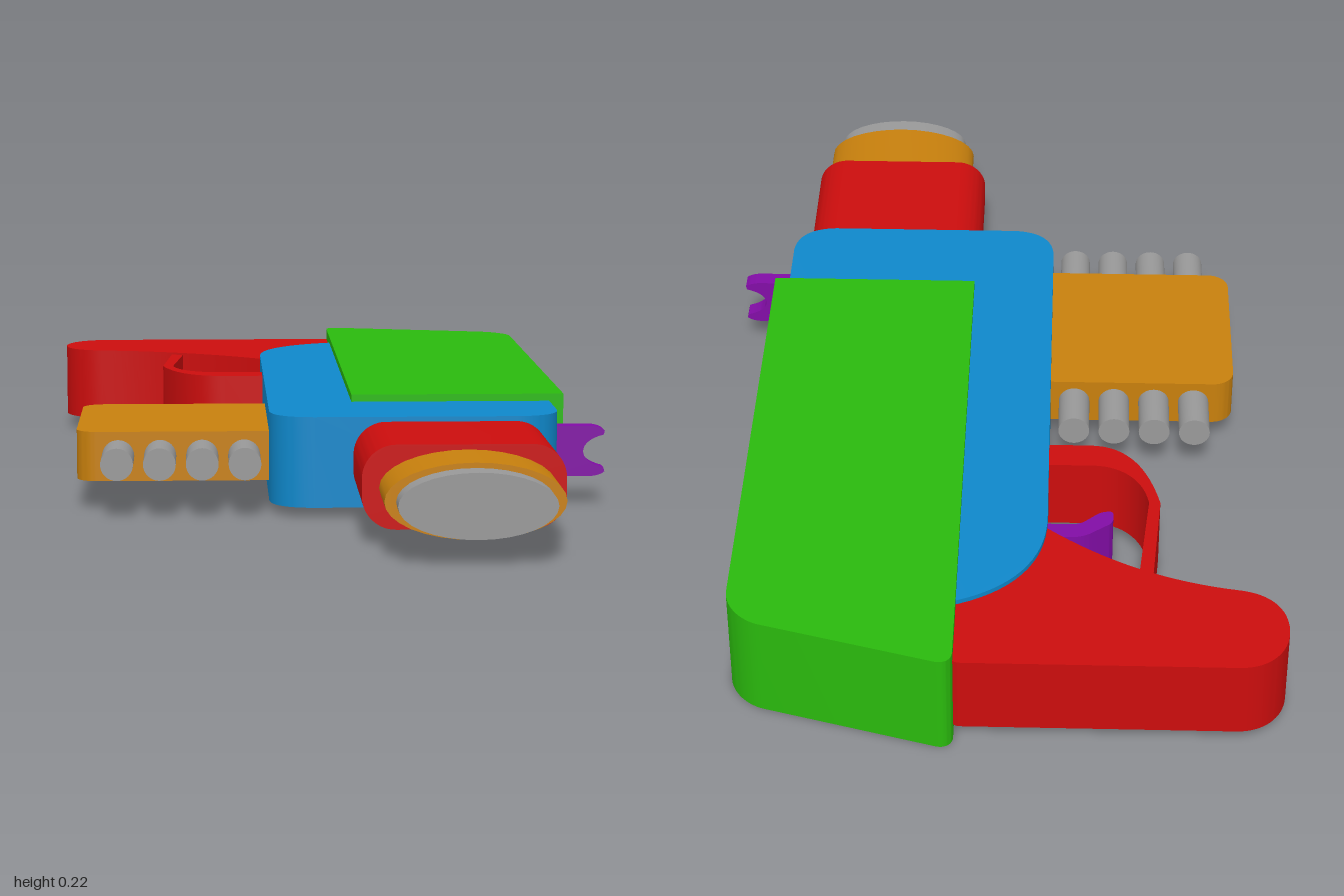
import * as THREE from 'three';
import { toCreasedNormals } from 'three/addons/utils/BufferGeometryUtils.js';

const RED = 0xcc0d0d, BLUE = 0x0f88cb, GREEN = 0x2aba0d, ORANGE = 0xc8800d, PURPLE = 0x820da6, GREY = 0x999999;

export function createModel() {
  const model = new THREE.Group();

  function add(name, geometry, color) {
    const mesh = new THREE.Mesh(geometry, new THREE.MeshStandardMaterial({ color }));
    mesh.name = name;
    model.add(mesh);
    return mesh;
  }

  // closed outline from [x, y, cornerRadius] points
  function rounded(points) {
    const shape = new THREE.Shape();
    const n = points.length;
    points.forEach(([x, y, r = 0], i) => {
      const p = new THREE.Vector2(x, y);
      const toward = ([qx, qy]) => p.clone().add(new THREE.Vector2(qx - x, qy - y).setLength(r));
      const a = toward(points[(i + n - 1) % n]), b = toward(points[(i + 1) % n]);
      if (i === 0) shape.moveTo(a.x, a.y); else shape.lineTo(a.x, a.y);
      if (r > 0) {
        const c1 = a.clone().lerp(p, 0.552), c2 = b.clone().lerp(p, 0.552);
        shape.bezierCurveTo(c1.x, c1.y, c2.x, c2.y, b.x, b.y);
      }
    });
    shape.closePath();
    return shape;
  }

  // extrude a front outline along z
  function along(shape, z0, z1) {
    const g = new THREE.ExtrudeGeometry(shape, { depth: z1 - z0, bevelEnabled: false, curveSegments: 16 });
    g.translate(0, 0, z0);
    return toCreasedNormals(g, 0.6);
  }

  // extrude a plan outline (shape y = -z) upward
  function upright(shape, y0, y1) {
    const g = new THREE.ExtrudeGeometry(shape, { depth: y1 - y0, bevelEnabled: false, curveSegments: 16 });
    g.rotateX(-Math.PI / 2);
    g.translate(0, y0, 0);
    return toCreasedNormals(g, 0.6);
  }

  // body with a domed rear corner
  const body = new THREE.Shape();
  body.moveTo(-0.115, 0.55);
  body.bezierCurveTo(-0.115, 0.68, -0.05, 0.775, 0.08, 0.815);
  body.lineTo(0.475, 0.815);
  body.lineTo(0.475, -0.39);
  body.quadraticCurveTo(0.47, -0.475, 0.385, -0.48);
  body.lineTo(-0.025, -0.48);
  body.quadraticCurveTo(-0.11, -0.475, -0.115, -0.39);
  body.closePath();
  add('body', upright(body, 0.02, 0.205), BLUE);

  // long cover with a slanted rear end
  add('topCover', upright(rounded([
    [0.06, -0.255], [0.505, -0.255], [0.505, 0.885, 0.075], [0.06, 1.01, 0.035],
  ]), 0, 0.22), GREEN);

  // grip
  const grip = new THREE.Shape();
  grip.moveTo(0.045, 0.975);
  grip.lineTo(-0.485, 0.975);
  grip.bezierCurveTo(-0.545, 0.975, -0.585, 0.925, -0.585, 0.863);
  grip.bezierCurveTo(-0.585, 0.805, -0.555, 0.762, -0.495, 0.752);
  grip.bezierCurveTo(-0.35, 0.73, -0.23, 0.67, -0.115, 0.573);
  grip.lineTo(0.065, 0.573);
  grip.lineTo(0.065, 0.955);
  grip.quadraticCurveTo(0.065, 0.975, 0.045, 0.975);
  add('grip', upright(grip, 0.03, 0.195), RED);

  // trigger guard
  const guard = new THREE.Shape();
  guard.moveTo(-0.325, 0.71);
  guard.lineTo(-0.343, 0.48);
  guard.bezierCurveTo(-0.32, 0.37, -0.28, 0.295, -0.2, 0.295);
  guard.lineTo(-0.1, 0.295);
  guard.lineTo(-0.1, 0.362);
  guard.lineTo(-0.21, 0.362);
  guard.bezierCurveTo(-0.27, 0.365, -0.31, 0.41, -0.32, 0.48);
  guard.lineTo(-0.298, 0.7);
  guard.closePath();
  add('triggerGuard', upright(guard, 0.036, 0.19), RED);

  add('trigger', upright(rounded([
    [-0.1, 0.563], [-0.185, 0.563, 0.02], [-0.248, 0.515, 0.012],
    [-0.248, 0.478, 0.01], [-0.222, 0.483, 0.01], [-0.18, 0.522, 0.015], [-0.1, 0.522],
  ]), 0.06, 0.165), PURPLE);

  // side magazine and darts
  add('magazine', upright(rounded([
    [-0.1, 0.038], [-0.51, 0.038, 0.045], [-0.51, -0.375, 0.045], [-0.1, -0.375],
  ]), 0.06, 0.162), ORANGE);
  for (let i = 0; i < 4; i++) {
    const dart = new THREE.CylinderGeometry(0.033, 0.033, 0.635, 32);
    dart.rotateX(Math.PI / 2);
    add('dart', dart, GREY).position.set(-0.424 + i * 0.086, 0.112, 0.1725);
  }

  // barrel, muzzle and tip
  add('barrel', along(rounded([
    [0.053, 0.03, 0.066], [0.447, 0.03, 0.066], [0.447, 0.195, 0.066], [0.053, 0.195, 0.066],
  ]), 0.35, 0.785), RED);
  function ellipse(rx, ry) {
    const shape = new THREE.Shape();
    shape.absellipse(0.257, 0.112, rx, ry, 0, Math.PI * 2);
    return shape;
  }
  add('muzzle', along(ellipse(0.171, 0.073), 0.75, 0.945), ORANGE);
  add('muzzleTip', along(ellipse(0.149, 0.063), 0.93, 1), GREY);

  // notched sight
  const sight = new THREE.Shape();
  sight.moveTo(0.46, 0.06);
  sight.lineTo(0.55, 0.06);
  sight.quadraticCurveTo(0.572, 0.062, 0.58, 0.07);
  sight.lineTo(0.578, 0.078);
  sight.bezierCurveTo(0.521, 0.092, 0.521, 0.133, 0.578, 0.147);
  sight.lineTo(0.58, 0.155);
  sight.quadraticCurveTo(0.572, 0.163, 0.55, 0.165);
  sight.lineTo(0.46, 0.165);
  sight.closePath();
  add('sight', along(sight, 0.312, 0.35), PURPLE);

  return model;
}
